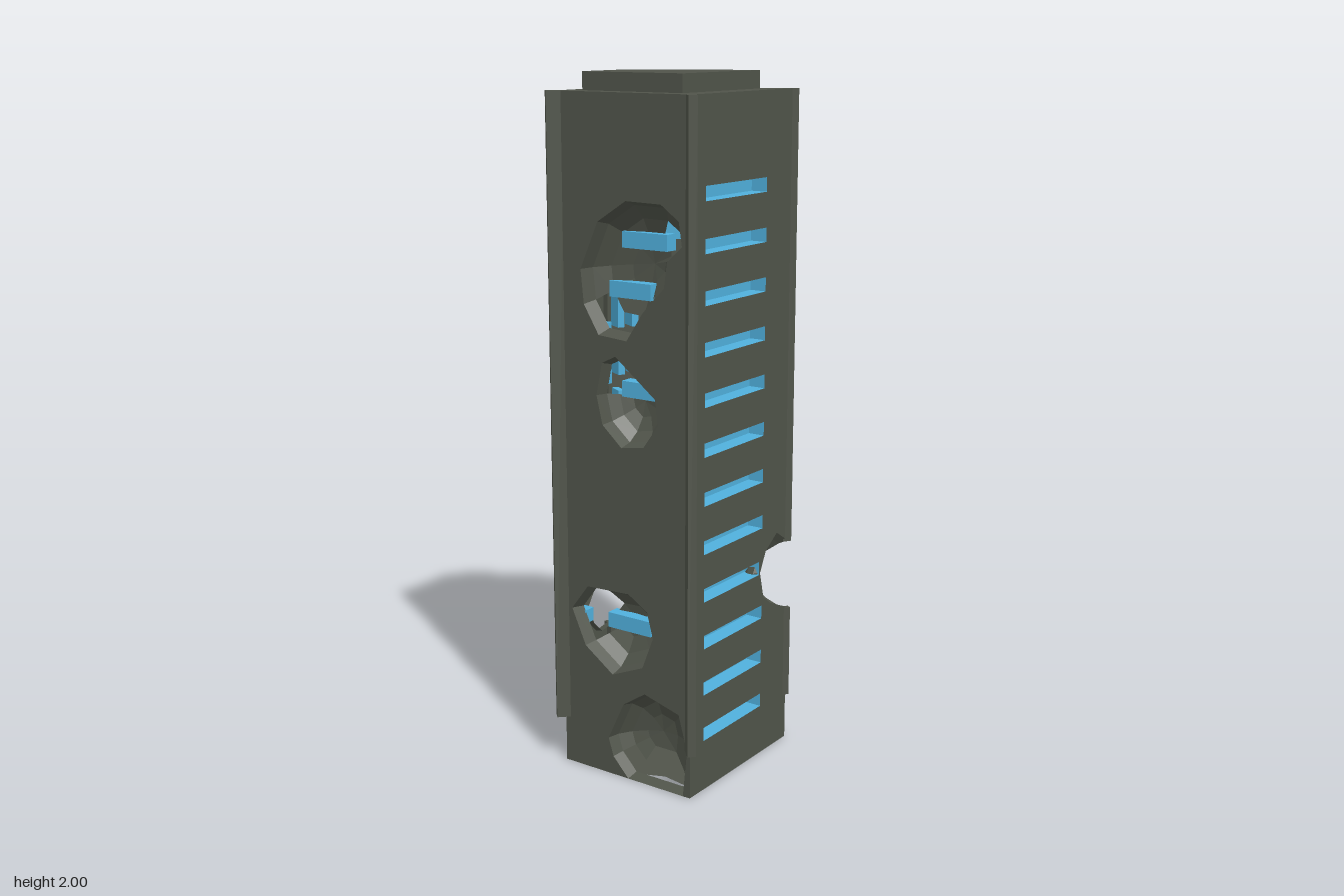
import * as THREE from 'three';
import { mergeGeometries } from 'three/addons/utils/BufferGeometryUtils.js';

const TOP = 1.95, NICHE = 0.05;
const ROWS = Array.from({ length: 12 }, (_, i) => 0.17 + i * 0.1386);
const A = [-0.247, -0.227], B = [-0.04, -0.227], C = [0.048, -0.178], D = [0.262, 0.217], E = [-0.247, 0.217];

export function createModel() {
  const model = new THREE.Group();
  const concrete = new THREE.MeshStandardMaterial({ color: 0x50544a, side: THREE.DoubleSide });
  concrete.name = 'dark concrete';
  const glass = new THREE.MeshStandardMaterial({ color: 0x50b0dc, side: THREE.DoubleSide });
  glass.name = 'blue glass';

  const add = (parent, name, geometry, material) => {
    const mesh = new THREE.Mesh(geometry, material);
    mesh.name = name;
    parent.add(mesh);
    return mesh;
  };
  const shapeOf = pts => new THREE.Shape(pts.map(p => new THREE.Vector2(p[0], p[1])));
  const planShape = pts => shapeOf(pts.map(([x, z]) => [x, -z]));

  // Wall frame: u runs left to right seen from outside, y up, z outward
  function frame(p, q) {
    const dir = new THREE.Vector3(q[0] - p[0], 0, q[1] - p[1]);
    const length = dir.length();
    dir.normalize();
    const normal = new THREE.Vector3(-dir.z, 0, dir.x);
    const matrix = new THREE.Matrix4().makeBasis(dir, new THREE.Vector3(0, 1, 0), normal).setPosition(p[0], 0, p[1]);
    return { matrix, length, normal, at: ([u, y]) => new THREE.Vector3(u, y, 0).applyMatrix4(matrix) };
  }

  // Split a window row where craters break it
  function remaining(a, b, y, half, cuts) {
    let segments = [[a, b]];
    for (const poly of cuts) {
      let lo = Infinity, hi = -Infinity;
      poly.forEach((p, i) => {
        const q = poly[(i + 1) % poly.length];
        for (let k = 0; k <= 16; k++) {
          const t = k / 16;
          if (Math.abs(p[1] + (q[1] - p[1]) * t - y) > half + 0.01) continue;
          const u = p[0] + (q[0] - p[0]) * t;
          lo = Math.min(lo, u);
          hi = Math.max(hi, u);
        }
      });
      if (lo > hi) continue;
      segments = segments.flatMap(([s, e]) => [[s, Math.min(e, lo - 0.005)], [Math.max(s, hi + 0.005), e]]
        .filter(([m, n]) => n - m > 0.012));
    }
    return segments;
  }

  // Wall panel with open window niches and crater holes
  function wall(name, f, outlines, holes, cuts, columns, half, lift = 0) {
    const group = new THREE.Group();
    group.name = name;
    group.applyMatrix4(f.matrix);
    model.add(group);
    const windows = [];
    for (const y0 of ROWS) for (const [a, b] of columns) {
      const y = y0 + lift;
      for (const [s, e] of remaining(a, b, y, half, [...holes, ...cuts])) windows.push([s, e, y - half, y + half]);
    }
    outlines.forEach((outline, i) => {
      const lo = Math.min(...outline.map(p => p[1])), hi = Math.max(...outline.map(p => p[1]));
      const shape = shapeOf(outline);
      const rects = windows.filter(w => w[2] > lo && w[3] < hi).map(([s, e, b, t]) => [[s, b], [s, t], [e, t], [e, b]]);
      for (const hole of [...holes, ...rects]) shape.holes.push(shapeOf(hole));
      add(group, name + 'Panel' + i, new THREE.ShapeGeometry(shape), concrete);
    });
    if (windows.length) add(group, name + 'Windows', mergeGeometries(windows.map(([s, e, b, t]) => {
      const g = new THREE.BoxGeometry(e - s, t - b, NICHE);
      const index = Array.from(g.index.array);
      index.splice(24, 6); // open front
      g.setIndex(index);
      return g.translate((s + e) / 2, (b + t) / 2, -NICHE / 2);
    })), glass);
    return group;
  }

  // Faceted bowl growing inward from a crater rim; faces passing gap() are left open
  function crater(name, rim, inward, depth, gap = () => false) {
    const c = rim.reduce((s, p) => s.add(p), new THREE.Vector3()).divideScalar(rim.length);
    const steps = 4, pts = [];
    const point = (i, k) => {
      const t = k / steps * Math.PI / 2;
      return c.clone().lerp(rim[i % rim.length], Math.cos(t)).addScaledVector(inward, depth * Math.sin(t));
    };
    for (let k = 0; k < steps; k++) for (let i = 0; i < rim.length; i++) {
      const a = point(i, k), b = point(i + 1, k), d = point(i, k + 1), e = point(i + 1, k + 1);
      const mid = a.clone().add(b).add(d).add(e).divideScalar(4);
      if (k > 0 && gap(mid)) continue;
      pts.push(a, b, d);
      if (k < steps - 1) pts.push(b, e, d);
    }
    const g = new THREE.BufferGeometry().setFromPoints(pts);
    g.computeVertexNormals();
    add(model, name, g, concrete);
  }

  const front = frame(E, D), slant = frame(D, C), chamfer = frame(C, B), back = frame(B, A), left = frame(A, E);
  const onFront = pts => pts.map(([x, y]) => [x + 0.247, y]);
  const onSlant = pts => pts.map(([z, y]) => [(0.217 - z) * slant.length / 0.395, y]);
  const onLeft = pts => pts.map(([z, y]) => [z + 0.227, y]);
  const L = slant.length, W = chamfer.length;

  // Crater rims
  const frontBite = onFront([[0.262, 0.42], [0.17, 0.46], [0.13, 0.49], [0.11, 0.57], [0.14, 0.63], [0.2, 0.67], [0.262, 0.63]]);
  const slantBite = onSlant([[0.217, 0.42], [0.13, 0.39], [0.07, 0.45], [0.045, 0.56], [0.07, 0.66], [0.14, 0.69], [0.217, 0.63]]);
  const slantEnd = [[L, 0.38], [0.4, 0.38], [0.365, 0.45], [0.36, 0.49], [0.4, 0.55], [L, 0.55]];
  const backBite = [[0, 0.37], [0.06, 0.36], [0.1, 0.4], [0.13, 0.46], [0.09, 0.52], [0.05, 0.55], [0, 0.56]];
  const slantMid = onSlant([[0.035, 0.7], [0.03, 0.78], [-0.01, 0.83], [-0.08, 0.845], [-0.14, 0.83], [-0.17, 0.78],
    [-0.17, 0.66], [-0.13, 0.6], [-0.06, 0.57], [0, 0.595], [0.035, 0.64]]);
  const slantHigh = onSlant([[0.07, 1.26], [0.06, 1.31], [-0.02, 1.335], [-0.06, 1.36], [-0.14, 1.33], [-0.155, 1.25],
    [-0.11, 1.19], [-0.09, 1.13], [-0.02, 1.14], [0.015, 1.18]]);
  const leftTop = onLeft([[-0.15, 1.474], [-0.09, 1.607], [0.005, 1.668], [0.12, 1.666], [0.178, 1.625], [0.188, 1.56],
    [0.14, 1.516], [0.13, 1.445], [0.06, 1.373], [0.005, 1.29], [-0.09, 1.297], [-0.14, 1.378]]);
  const leftUpper = onLeft([[-0.1, 1.127], [-0.08, 1.22], [-0.034, 1.243], [0.1, 1.14], [0.11, 1.069], [0.06, 1], [-0.015, 0.988], [-0.08, 1.045]]);
  const leftLower = onLeft([[-0.198, 0.483], [-0.14, 0.56], [0.005, 0.566], [0.07, 0.526], [0.09, 0.451], [0.053, 0.355], [-0.053, 0.31], [-0.15, 0.378]]);
  const leftBase = onLeft([[0, 0], [-0.053, 0.056], [-0.07, 0.11], [-0.015, 0.227], [0.06, 0.277], [0.178, 0.244], [0.207, 0.14], [0.193, 0]]);

  // Walls
  wall('frontWall', front, [[[0, 0], [front.length, 0], ...frontBite, [front.length, TOP], [0, TOP]]],
    [], [frontBite], [[0.067, 0.367]], 0.02);
  wall('slantedWall', slant, [[[0, 0], [L, 0], ...slantEnd, [L, TOP], [0, TOP], ...slantBite.slice().reverse()]],
    [slantMid, slantHigh], [slantEnd, slantBite], [[0.07, 0.372]], 0.025);
  wall('chamferWall', chamfer, [[[0, 0], [W, 0], [W, 0.37], [0.05, 0.35], [0, 0.38]], [[0, 0.55], [0.04, 0.57], [W, 0.56], [W, TOP], [0, TOP]]],
    [], [[[0, 0.34], [W, 0.34], [W, 0.58], [0, 0.58]]], [[0.018, 0.038], [0.062, 0.082]], 0.046, 0.045);
  wall('backWall', back, [[[0, 0], [back.length, 0], [back.length, TOP], [0, TOP], ...backBite.slice().reverse()]],
    [], [backBite], [[0.035, 0.172]], 0.02);
  const leftGroup = wall('leftWall', left, [[[0, 0], ...leftBase, [left.length, 0], [left.length, TOP], [0, TOP]]],
    [leftTop, leftUpper, leftLower], [], [], 0.02);

  // Bowls inside the craters
  const bowl = (name, f, rim, depth, gap) => crater(name, rim.map(f.at), f.normal.clone().negate(), depth, gap);
  bowl('slantMiddleCrater', slant, slantMid, 0.1);
  bowl('slantHighCrater', slant, slantHigh, 0.08, () => true);
  bowl('leftTopCrater', left, leftTop, 0.1, v => v.y < 1.38 || (v.z > 0.07 && v.y > 1.52 && v.y < 1.6));
  bowl('leftUpperCrater', left, leftUpper, 0.1, v => v.y > 1.12);
  bowl('leftLowerCrater', left, leftLower, 0.1, v => v.z < -0.1 || v.z > 0);
  bowl('leftBaseCrater', left, leftBase, 0.09, v => v.y < 0.06);
  crater('frontCornerCrater', [...frontBite.map(front.at), ...slantBite.slice(1, -1).reverse().map(slant.at)],
    new THREE.Vector3(-0.86, 0, -0.5), 0.06, v => v.z < 0.1 && v.y > 0.47 && v.y < 0.58);
  const chamferRim = [...slantEnd.map(slant.at), ...backBite.slice().reverse().map(back.at)];
  crater('backCornerCrater', chamferRim, new THREE.Vector3(-0.5, 0, 0.86), 0.08, v => v.z < -0.12 && v.x < 0.02);

  // Glass bands exposed inside the left craters
  for (const [u, y, w] of [[0.25, ROWS[10], 0.15], [0.2, ROWS[9], 0.14], [0.23, ROWS[7], 0.12], [0.19, ROWS[2], 0.15]]) {
    add(leftGroup, 'exposedGlass', new THREE.BoxGeometry(w, 0.045, 0.04), glass).position.set(u, y, -0.08);
  }

  // Base, roof and roof block
  const flat = (pts, y) => new THREE.ShapeGeometry(planShape(pts)).rotateX(-Math.PI / 2).translate(0, y, 0);
  add(model, 'roof', flat([A, B, C, D, E], TOP), concrete);
  add(model, 'base', flat([A, B, C, D, E, [-0.247, 0.193], [-0.19, 0.17], [-0.175, 0.08], [-0.2, 0.02], [-0.247, 0]], 0), concrete);
  const block = planShape([[-0.193, -0.178], [-0.04, -0.178], [0.018, -0.142], [0.18, 0.152], [-0.193, 0.152]]);
  add(model, 'roofBlock', new THREE.ExtrudeGeometry(block, { depth: 0.05, bevelEnabled: false })
    .rotateX(-Math.PI / 2).translate(0, TOP, 0), concrete);

  // Corner fins: corner, outward direction, reach, width, height spans
  const whole = [[0.14, TOP]], broken = [[0.14, 0.37], [0.56, TOP]];
  const fins = [
    [A, [-1, -1], 0.028, 0.024, whole], [E, [-1, 1], 0.028, 0.024, whole],
    [D, [0.86, 0.5], 0.008, 0.015, [[0.14, 0.42], [0.63, TOP]]],
    [B, [0.25, -0.97], 0.011, 0.012, broken], [C, [0.7, -0.7], 0.009, 0.012, broken],
  ];
  for (const [corner, dir, reach, width, spans] of fins) for (const [y0, y1] of spans) {
    const d = new THREE.Vector2(...dir).normalize(), length = reach + 0.02;
    const fin = add(model, 'cornerFin', new THREE.BoxGeometry(length, y1 - y0, width), concrete);
    const mid = reach - length / 2;
    fin.position.set(corner[0] + d.x * mid, (y0 + y1) / 2, corner[1] + d.y * mid);
    fin.rotation.y = -Math.atan2(d.y, d.x);
  }
  return model;
}
